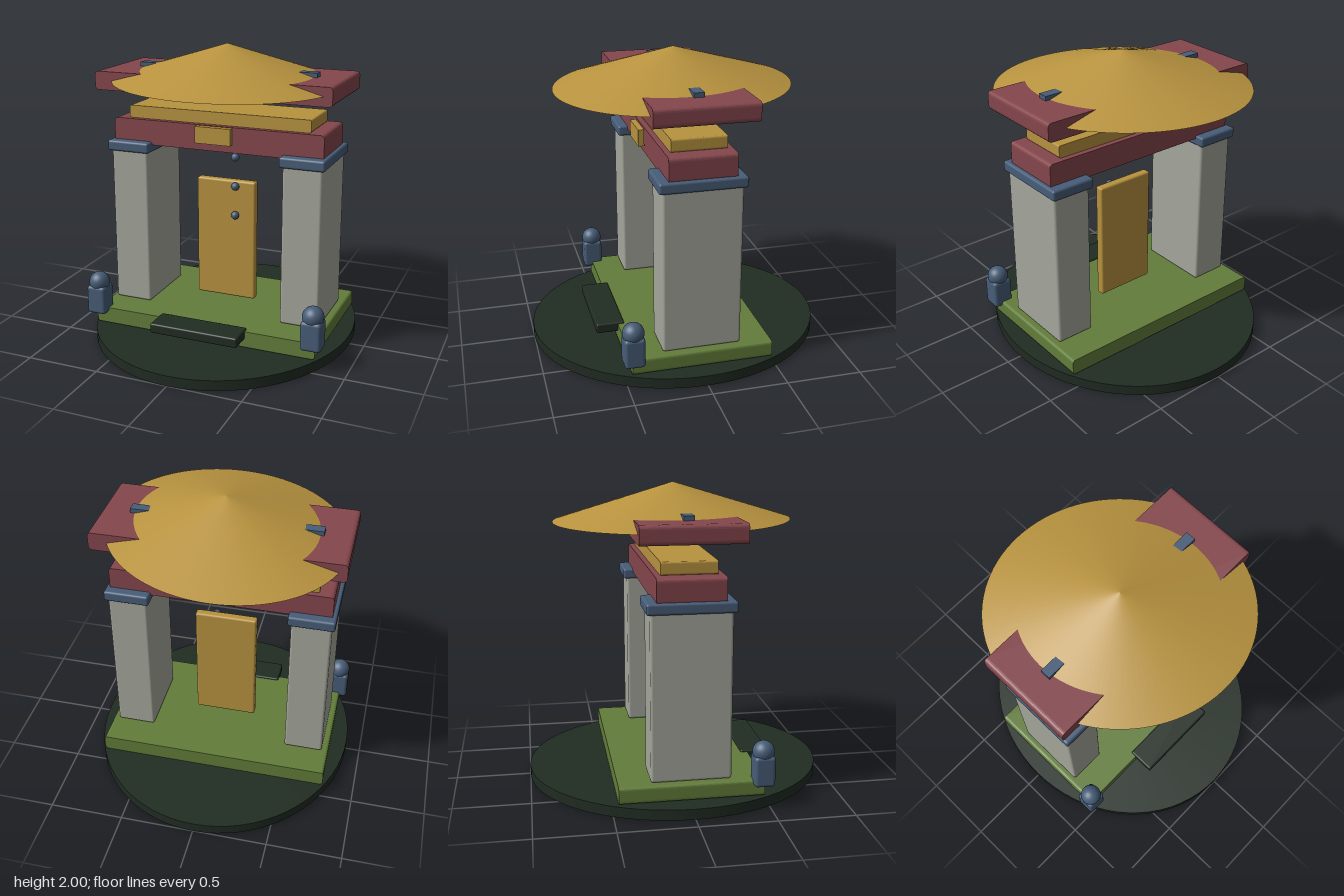
import * as THREE from 'three';
import { RoundedBoxGeometry } from 'three/addons/geometries/RoundedBoxGeometry.js';

const material = (name, color) => {
  const m = new THREE.MeshStandardMaterial({ color });
  m.name = name;
  return m;
};

export function createModel() {
  const gold = material('gold', 0xb8933f);
  const red = material('dark red', 0x84464c);
  const green = material('moss green', 0x627d3a);
  const blue = material('slate blue', 0x475d78);
  const stone = material('pale stone', 0xa5a79c);
  const dark = material('dark green', 0x202c22);

  const model = new THREE.Group();
  model.name = 'shrineGate';

  const add = (name, geometry, mat, x = 0, y = 0, z = 0) => {
    const mesh = new THREE.Mesh(geometry, mat);
    mesh.name = name;
    mesh.position.set(x, y, z);
    model.add(mesh);
    return mesh;
  };

  // Box with softly rounded edges, given by its bottom and top heights
  const block = (name, mat, w, y0, y1, d, r, x = 0, z = 0) =>
    add(name, new RoundedBoxGeometry(w, y1 - y0, d, 3, r), mat, x, (y0 + y1) / 2, z);

  // Beam with rounded ends seen from the front and straight front and back faces
  const beam = (name, mat, w, y0, y1, d, r, x = 0) => {
    const a = w / 2, b = (y1 - y0) / 2;
    const s = new THREE.Shape();
    s.moveTo(-a + r, -b);
    s.lineTo(a - r, -b);
    s.quadraticCurveTo(a, -b, a, -b + r);
    s.lineTo(a, b - r);
    s.quadraticCurveTo(a, b, a - r, b);
    s.lineTo(-a + r, b);
    s.quadraticCurveTo(-a, b, -a, b - r);
    s.lineTo(-a, -b + r);
    s.quadraticCurveTo(-a, -b, -a + r, -b);
    const g = new THREE.ExtrudeGeometry(s, { depth: d, bevelEnabled: false, curveSegments: 5 });
    g.translate(0, 0, -d / 2);
    return add(name, g, mat, x, (y0 + y1) / 2, 0);
  };

  // Ground disc, platform and front step
  const disc = new THREE.CylinderGeometry(1, 1, 0.07, 72);
  disc.scale(0.9, 1, 1);
  add('groundDisc', disc, dark, 0, 0.035, 0);
  beam('platform', green, 1.58, 0.078, 0.188, 0.93, 0.022);
  block('frontStep', dark, 0.62, 0.132, 0.2, 0.19, 0.012, 0, 0.515);

  // Pillars, capitals and guardian posts on both sides
  for (const [side, s] of [['left', 1], ['right', -1]]) {
    block(side + 'Pillar', stone, 0.267, 0.19, 1.29, 0.517, 0.018, s * 0.613);
    block(side + 'Capital', blue, 0.306, 1.268, 1.34, 0.566, 0.016, s * 0.614);
    block(side + 'GuardianBody', blue, 0.137, 0.152, 0.352, 0.134, 0.022, s * 0.771, 0.455);
    add(side + 'GuardianHead', new THREE.SphereGeometry(0.071, 28, 18), blue, s * 0.771, 0.371, 0.455);
  }

  // Lintel stack with its front plaque
  beam('lintel', red, 1.48, 1.318, 1.488, 0.434, 0.028);
  beam('upperLintel', gold, 1.284, 1.488, 1.572, 0.358, 0.014);
  add('plaque', new THREE.BoxGeometry(0.25, 0.112, 0.04), gold, 0, 1.43, 0.246);

  // Top beam and ridge bar
  beam('topBeam', red, 1.63, 1.692, 1.815, 0.656, 0.028);
  add('ridgeBar', new THREE.BoxGeometry(1.255, 0.045, 0.068), blue, 0, 1.822, 0);

  // Slightly oval conical roof, its long axis set diagonally
  const cone = new THREE.ConeGeometry(1, 0.245, 96);
  cone.scale(0.841, 1, 0.759);
  cone.rotateY(-Math.PI / 4);
  add('roofCone', cone, gold, 0, 1.8775, 0);

  // Door panel and hanging beads
  block('doorPanel', gold, 0.426, 0.226, 1.074, 0.062, 0.014);
  [0.835, 1.04, 1.245].forEach((y, i) =>
    add('bead' + (i + 1), new THREE.SphereGeometry(0.028, 20, 14), blue, 0.077, y, 0.05));

  return model;
}
